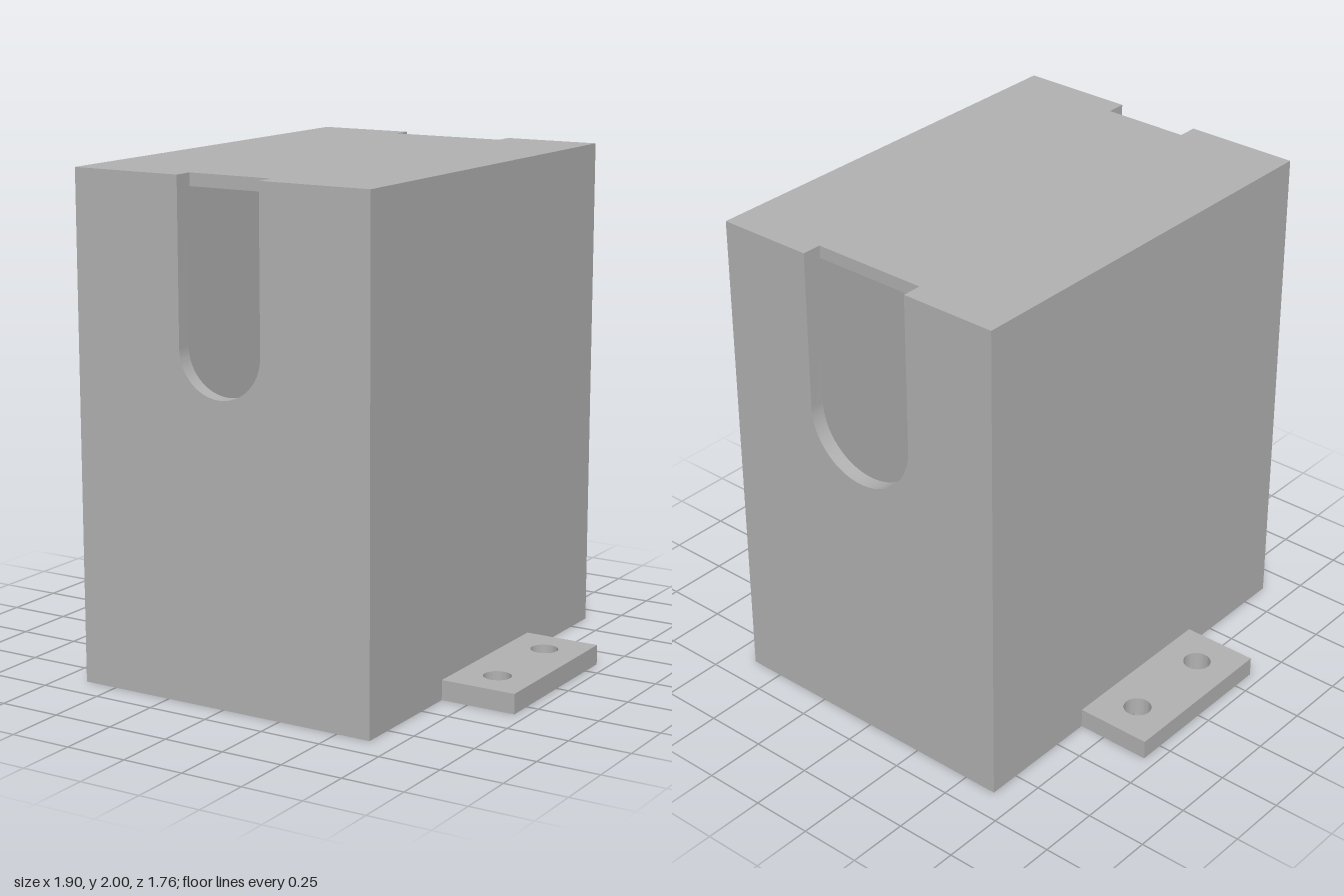
import * as THREE from 'three';
import { toCreasedNormals } from 'three/addons/utils/BufferGeometryUtils.js';

const W = 0.64, D = 0.88, H = 2;      // half width, half depth, height
const WALL = 0.06, ROOF = 0.05;       // thicknesses
const SLOT_Y = 1.363;                 // centre of the round slot ends
const FRONT_R = 0.178, BACK_R = 0.242; // half widths of the slots
const NOTCH_Z = 0.8;                  // how far the slots cut into the roof

export function createModel() {
  const model = new THREE.Group();
  model.name = 'slottedCover';
  const grey = new THREE.MeshStandardMaterial({ color: 0xb2b2b2 });
  grey.name = 'plain grey';

  const add = (name, geometry) => {
    const mesh = new THREE.Mesh(geometry, grey);
    mesh.name = name;
    model.add(mesh);
    return mesh;
  };
  const extrude = (shape, depth) => toCreasedNormals(
    new THREE.ExtrudeGeometry(shape, { depth, bevelEnabled: false, curveSegments: 32 }), 0.5);
  const outline = (points) => new THREE.Shape(points.map(([x, y]) => new THREE.Vector2(x, y)));

  // End walls, each with a U-shaped slot open at the top
  const endWall = (name, r, z) => {
    const s = new THREE.Shape();
    s.moveTo(-W, 0);
    s.lineTo(W, 0);
    s.lineTo(W, H);
    s.lineTo(r, H);
    s.lineTo(r, SLOT_Y);
    s.absarc(0, SLOT_Y, r, 0, -Math.PI, true);
    s.lineTo(-r, H);
    s.lineTo(-W, H);
    s.closePath();
    add(name, extrude(s, WALL)).position.z = z;
  };
  endWall('frontWall', FRONT_R, D - WALL);
  endWall('backWall', BACK_R, -D);

  // Roof plate, notched where the slots run into it
  const e = D - WALL, n = NOTCH_Z;
  const roof = extrude(outline([
    [-W, -e], [-FRONT_R, -e], [-FRONT_R, -n], [FRONT_R, -n], [FRONT_R, -e], [W, -e],
    [W, e], [BACK_R, e], [BACK_R, n], [-BACK_R, n], [-BACK_R, e], [-W, e],
  ]), ROOF).rotateX(-Math.PI / 2);
  add('roof', roof).position.y = H - ROOF;

  for (const [side, label] of [[1, 'left'], [-1, 'right']]) {
    // Side wall
    add(label + 'Wall', new THREE.BoxGeometry(WALL, H - ROOF, 2 * e))
      .position.set(side * (W - WALL / 2), (H - ROOF) / 2, 0);

    // Mounting flange with two screw holes
    const hw = 0.155, hd = 0.35;
    const flange = outline([[-hw, -hd], [hw, -hd], [hw, hd], [-hw, hd]]);
    for (const y of [-0.195, 0.195]) {
      flange.holes.push(new THREE.Path().absarc(0, y, 0.055, 0, Math.PI * 2, true));
    }
    add(label + 'Flange', extrude(flange, 0.08).rotateX(-Math.PI / 2))
      .position.x = side * (W + hw);
  }
  return model;
}
